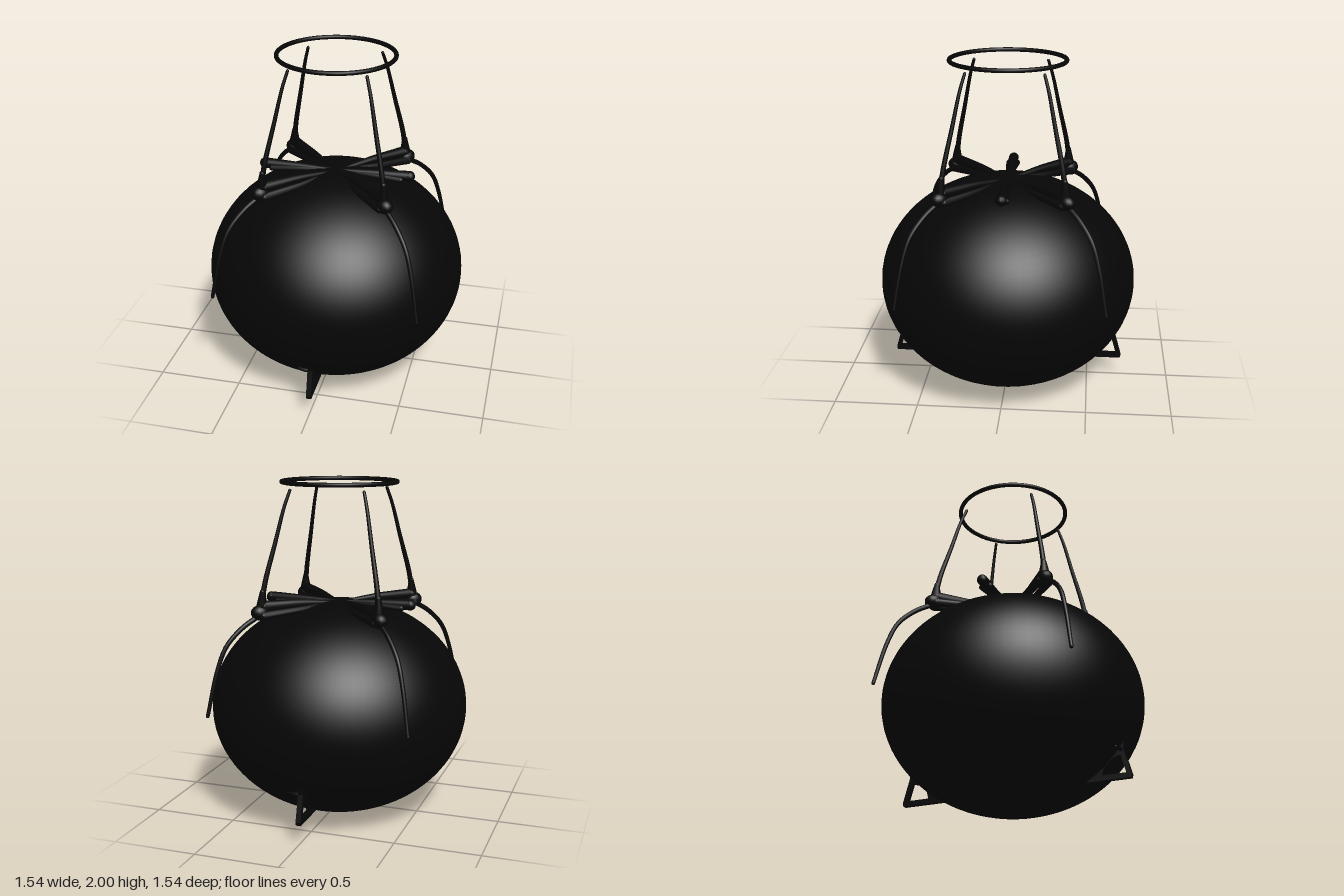
import * as THREE from 'three';

const black = new THREE.MeshStandardMaterial({ color: 0x060606 });
black.name = 'matte black';

const v = (x, y, z = 0) => new THREE.Vector3(x, y, z);

function add(parent, name, geometry) {
  const mesh = new THREE.Mesh(geometry, black);
  mesh.name = name;
  parent.add(mesh);
  return mesh;
}

// Round-ended rod along a smooth path, with the radius varying from r0 to r1
function rod(parent, name, points, r0, r1 = r0) {
  const curve = new THREE.CatmullRomCurve3(points);
  const steps = 28, sides = 10;
  const geo = new THREE.TubeGeometry(curve, steps, 1, sides, false);
  const pos = geo.attributes.position;
  const p = v(0, 0), c = v(0, 0);
  for (let i = 0; i < pos.count; i++) {
    const t = Math.floor(i / (sides + 1)) / steps;
    curve.getPointAt(t, c);
    p.fromBufferAttribute(pos, i).sub(c).multiplyScalar(r0 + (r1 - r0) * t).add(c);
    pos.setXYZ(i, p.x, p.y, p.z);
  }
  add(parent, name, geo);
  for (const [end, r] of [[points[0], r0], [points[points.length - 1], r1]]) {
    add(parent, name + 'End', new THREE.SphereGeometry(r, 10, 8)).position.copy(end);
  }
}

// One corner assembly, built along +x and turned to a diagonal
function makeCorner(angle) {
  const g = new THREE.Group();
  g.name = 'cornerArm';
  // Ridged arm lying over the crown
  rod(g, 'armRidge', [v(0.02, 1.27), v(0.25, 1.285), v(0.42, 1.285), v(0.49, 1.285)], 0.012, 0.034);
  for (const s of [-1, 1]) {
    rod(g, 'armStrand', [v(0.04, 1.27), v(0.25, 1.255, s * 0.03), v(0.5, 1.235, s * 0.028)], 0.012, 0.025);
  }
  // Knuckle holding the upright and the whisker
  const knuckle = add(g, 'knuckle', new THREE.SphereGeometry(1, 16, 12));
  knuckle.scale.set(0.055, 0.045, 0.045);
  knuckle.position.set(0.51, 1.25, 0);
  rod(g, 'uprightSocket', [v(0.5, 1.25), v(0.497, 1.31), v(0.493, 1.37)], 0.04, 0.016);
  // Upright leaning inward towards the hoop
  rod(g, 'upright', [v(0.495, 1.33), v(0.475, 1.43), v(0.41, 1.65), v(0.352, 1.85), v(0.315, 1.945)], 0.016, 0.009);
  // Whisker drooping outside the body
  rod(g, 'whisker', [v(0.52, 1.23), v(0.62, 1.17), v(0.72, 1.07), v(0.78, 0.93), v(0.845, 0.67)], 0.015, 0.011);
  g.rotation.y = angle;
  return g;
}

// Side bar made of a thick core and two thin strands
function makeSideBar(angle) {
  const g = new THREE.Group();
  g.name = 'sideBar';
  rod(g, 'barCore', [v(0, 1.275), v(0.22, 1.28), v(0.44, 1.28)], 0.012, 0.032);
  for (const s of [-1, 1]) {
    rod(g, 'barStrand', [v(0.03, 1.275), v(0.22, 1.272, s * 0.018), v(0.39, 1.262, s * 0.025)], 0.01, 0.018);
  }
  g.rotation.y = angle;
  return g;
}

// Triangular foot in the z-y plane, with an open centre
function makeFoot(angle) {
  const g = new THREE.Group();
  g.name = 'foot';
  const shape = new THREE.Shape();
  shape.moveTo(0.40, 0.12);
  shape.lineTo(0.705, 0.12);
  shape.lineTo(0.71, 0.14);
  shape.lineTo(0.668, 0.29);
  shape.quadraticCurveTo(0.67, 0.34, 0.70, 0.39);
  shape.lineTo(0.55, 0.36);
  const hole = new THREE.Path();
  hole.moveTo(0.54, 0.15);
  hole.lineTo(0.55, 0.19);
  hole.lineTo(0.61, 0.245);
  hole.lineTo(0.65, 0.255);
  hole.lineTo(0.68, 0.15);
  shape.holes.push(hole);
  const geo = new THREE.ExtrudeGeometry(shape, { depth: 0.03, bevelEnabled: false, curveSegments: 6 });
  geo.translate(0, 0, -0.015);
  add(g, 'footFrame', geo);
  // Small catch beside the top of the foot
  rod(g, 'footCatch', [v(0.655, 0.285, 0), v(0.653, 0.285, 0.04), v(0.645, 0.285, 0.07)], 0.013, 0.009);
  g.rotation.y = angle;
  return g;
}

export function createModel() {
  const model = new THREE.Group();
  model.name = 'roundVessel';

  // Squashed round body
  const body = add(model, 'body', new THREE.SphereGeometry(1, 72, 48));
  body.scale.set(0.772, 0.643, 0.772);
  body.position.y = 0.645;

  // Hoop above the uprights
  const hoop = add(model, 'hoop', new THREE.TorusGeometry(0.338, 0.013, 12, 72));
  hoop.rotation.x = Math.PI / 2;
  hoop.position.y = 1.987;

  for (let i = 0; i < 4; i++) model.add(makeCorner(Math.PI / 4 + i * Math.PI / 2));
  for (let i = 0; i < 2; i++) {
    model.add(makeSideBar(i * Math.PI));
    model.add(makeFoot(-Math.PI / 2 + i * Math.PI));
  }
  return model;
}
